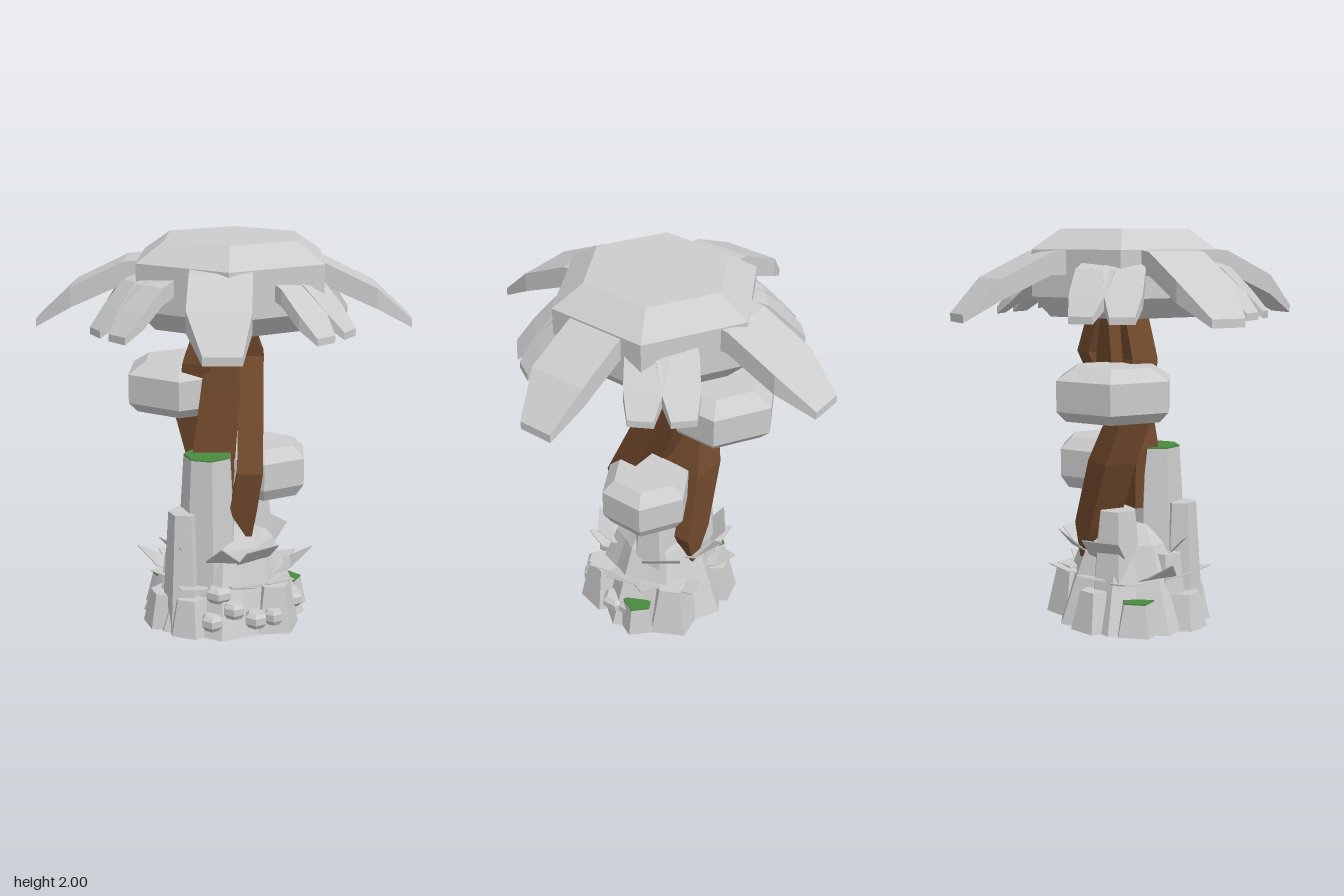
import * as THREE from 'three';

const mat = (name, color) => {
  const m = new THREE.MeshStandardMaterial({ color, flatShading: true, side: THREE.DoubleSide });
  m.name = name;
  return m;
};

export function createModel() {
  const root = new THREE.Group();
  const grey = mat('stone grey', 0xcccccc);
  const brown = mat('bark brown', 0x70492c);
  const green = mat('moss green', 0x4a8a40);

  const add = (name, geometry, material, parent = root) => {
    const mesh = new THREE.Mesh(geometry, material);
    mesh.name = name;
    parent.add(mesh);
    return mesh;
  };

  // Solid skin over a list of equal-length rings, closed at both ends
  const loft = (rings) => {
    const n = rings[0].length, index = [], last = (rings.length - 1) * n;
    for (let r = 0; r < rings.length - 1; r++) {
      for (let i = 0; i < n; i++) {
        const a = r * n + i, b = r * n + (i + 1) % n;
        index.push(a, b, b + n, a, b + n, a + n);
      }
    }
    for (let i = 1; i < n - 1; i++) {
      index.push(0, i + 1, i, last, last + i, last + i + 1);
    }
    const g = new THREE.BufferGeometry();
    g.setAttribute('position', new THREE.Float32BufferAttribute(rings.flat(2), 3));
    g.setIndex(index);
    const flat = g.toNonIndexed();
    flat.computeVertexNormals();
    return flat;
  };

  // Six-sided cap turned from [radius, height] points
  const hexCap = (name, x, z, profile, parent = root) => {
    const pts = profile.map(([r, y]) => new THREE.Vector2(r, y));
    const mesh = add(name, new THREE.LatheGeometry(pts, 6), grey, parent);
    mesh.position.set(x, 0, z);
    return mesh;
  };

  // Canopy
  hexCap('canopy', 0.035, 0,
    [[0, 1.57], [0.42, 1.57], [0.52, 1.67], [0.52, 1.9], [0.365, 2], [0, 2]]);

  // Drooping leaves: each section is [distance, top, thickness, x0, x1]
  const leaf = (name, sections, angle) => {
    const rings = sections.map(([d, y, t, x0, x1]) =>
      [[x0, y - t, d], [x1, y - t, d], [x1, y, d], [x0, y, d]]);
    add(name, loft(rings), grey).rotation.y = angle;
  };
  for (let i = 0; i < 4; i++) {
    leaf('largeLeaf', [
      [0.4, 1.9, 0.12, -0.15, 0.145], [0.49, 1.89, 0.11, -0.15, 0.145],
      [0.75, 1.765, 0.1, -0.15, 0.145], [0.93, 1.6, 0.04, -0.07, 0.105],
    ], i * Math.PI / 2);
  }
  for (const sx of [-1, 1]) {
    for (const sz of [-1, 1]) {
      for (const deg of [30, 46]) {
        const a = deg * Math.PI / 180;
        leaf('smallLeaf', [
          [0.36, 1.86, 0.08, -0.09, 0.09], [0.5, 1.81, 0.08, -0.1, 0.1],
          [0.61, 1.7, 0.07, -0.09, 0.09], [0.7, 1.6, 0.035, -0.06, 0.06],
        ], Math.atan2(sx * Math.cos(a), sz * Math.sin(a)));
      }
    }
  }

  // Twisting trunk strands: each section is [x, y, z, width, depth]
  const strand = (name, sections) => add(name, loft(sections.map(([x, y, z, w, d]) => [
    [x - w / 2, y, z + d / 2], [x + w / 2, y, z + d / 2],
    [x + w / 2, y, z - d / 2], [x - w / 2, y, z - d / 2],
  ])), brown);
  strand('frontStrand', [
    [0.13, 0.48, 0.09, 0.03, 0.14], [0.1, 0.62, 0.1, 0.14, 0.16],
    [0.135, 0.83, 0.13, 0.13, 0.14], [0.135, 1.38, -0.13, 0.13, 0.14],
    [0.06, 1.6, -0.1, 0.13, 0.14],
  ]);
  strand('backStrand', [
    [0.04, 0.33, -0.22, 0.04, 0.07], [0.02, 0.5, -0.18, 0.18, 0.16],
    [-0.1, 0.84, -0.15, 0.2, 0.17], [-0.17, 1.07, -0.09, 0.16, 0.17],
    [-0.14, 1.36, -0.02, 0.14, 0.14], [-0.06, 1.6, -0.03, 0.13, 0.13],
  ]);
  strand('middleStrand', [
    [-0.06, 0.6, 0.02, 0.2, 0.14], [-0.05, 0.9, 0.02, 0.22, 0.13],
    [-0.02, 1.2, -0.05, 0.2, 0.2], [0, 1.6, -0.07, 0.14, 0.18],
  ]);

  // Shelf caps on the trunk
  hexCap('upperCap', -0.225, -0.2,
    [[0, 1.08], [0.26, 1.08], [0.31, 1.13], [0.31, 1.28], [0.21, 1.34], [0, 1.34]]);
  hexCap('lowerCap', 0.207, -0.06,
    [[0, 0.665], [0.19, 0.665], [0.235, 0.73], [0.235, 0.87], [0.17, 0.93], [0, 0.93]]);

  // Stump with flared, uneven roots
  const N = 16;
  const stumpRing = (y, r, flare) => Array.from({ length: N }, (_, i) => {
    const a = i / N * Math.PI * 2;
    const k = r * (1 + flare * (i % 2 ? -1 : 0.4) * (1 + 0.4 * Math.sin(i * 2.3)));
    return [Math.sin(a) * k * 1.08, y, Math.cos(a) * k];
  });
  add('stump', loft([stumpRing(0, 0.38, 0.1), stumpRing(0.2, 0.31, 0.09),
    stumpRing(0.42, 0.23, 0.07), stumpRing(0.52, 0.16, 0.05)]), grey);

  // Rock pillars: [x, z, base radius, top radius, height, sides, turn]
  const pillars = [
    [-0.08, 0.11, 0.18, 0.125, 0.9, 7, 0.2],
    [-0.2, 0.19, 0.12, 0.08, 0.625, 6, 0.5],
    [-0.23, 0.09, 0.13, 0.085, 0.38, 6, 0],
    [0.13, -0.06, 0.17, 0.1, 0.68, 6, 0.3],
    [-0.12, -0.13, 0.16, 0.1, 0.6, 6, 0.1],
    [-0.29, 0.15, 0.13, 0.09, 0.18, 6, 0.4],
    [-0.16, 0.25, 0.13, 0.09, 0.19, 6, 0.2],
    [0.26, 0.18, 0.14, 0.09, 0.24, 5, 0.7],
    [0.2, -0.22, 0.15, 0.09, 0.26, 5, 0.2],
    [0.33, -0.1, 0.11, 0.08, 0.15, 5, 0.5],
    [-0.3, -0.11, 0.13, 0.09, 0.16, 5, 0.9],
    [-0.14, -0.26, 0.13, 0.08, 0.2, 5, 0.3],
  ];
  for (const [x, z, rb, rt, h, sides, turn] of pillars) {
    const p = add('rockPillar', new THREE.CylinderGeometry(rt, rb, h, sides), grey);
    p.position.set(x, h / 2, z);
    p.rotation.y = turn;
  }

  // Moss on the tops of three pillars
  for (const i of [0, 9, 10]) {
    const [x, z, , rt, h, sides, turn] = pillars[i];
    const m = add('moss', new THREE.CylinderGeometry(rt, rt, 0.008, sides), green);
    m.position.set(x, h + 0.003, z);
    m.rotation.y = turn;
  }

  // Thin blades: four points from the root through the widest part to the tip
  const blade = (name, angle, r0, y0, r1, y1, rootHalf, tipHalf) => {
    const rm = r0 + (r1 - r0) * 0.45, ym = y0 + (y1 - y0) * 0.3;
    const wide = Math.max(rootHalf, tipHalf);
    const rings = [[r0, y0, rootHalf], [rm, ym, wide], [r1, y1, tipHalf]].map(([r, y, w]) =>
      [[-w, y - 0.006, r], [w, y - 0.006, r], [w, y, r], [-w, y, r]]);
    add(name, loft(rings), grey).rotation.y = angle;
  };
  const Q = Math.PI / 2;
  for (let i = 0; i < 4; i++) {
    const side = i % 2 === 1;
    blade('spike', i * Q, side ? 0.26 : 0.2, side ? 0.25 : 0.35,
      side ? 0.46 : 0.4, side ? 0.37 : 0.5, 0.085, 0.003);
    blade('broadBlade', i * Q + 0.65, 0.2, 0.34, 0.34, 0.46, 0.07, 0.1);
    blade('lowSpike', i * Q + 0.4, 0.24, 0.25, 0.41, 0.29, 0.08, 0.003);
    blade('lowSpike', i * Q + 1.05, 0.24, 0.24, 0.42, 0.27, 0.08, 0.003);
  }

  // Small caps around the foot: [x, z, radius, middle height]
  for (const [x, z, r, y] of [[0.17, 0.32, 0.06, 0.1], [0.26, 0.28, 0.05, 0.1],
    [-0.05, 0.34, 0.06, 0.09], [0.06, 0.32, 0.06, 0.15], [0.34, 0.04, 0.08, 0.1],
    [0.33, -0.05, 0.07, 0.1], [-0.02, 0.28, 0.07, 0.22]]) {
    hexCap('smallCap', x, z, [[0, y - 0.045], [r * 0.7, y - 0.045], [r, y - 0.02],
      [r, y + 0.015], [r * 0.7, y + 0.035], [0, y + 0.035]]);
  }

  return root;
}
